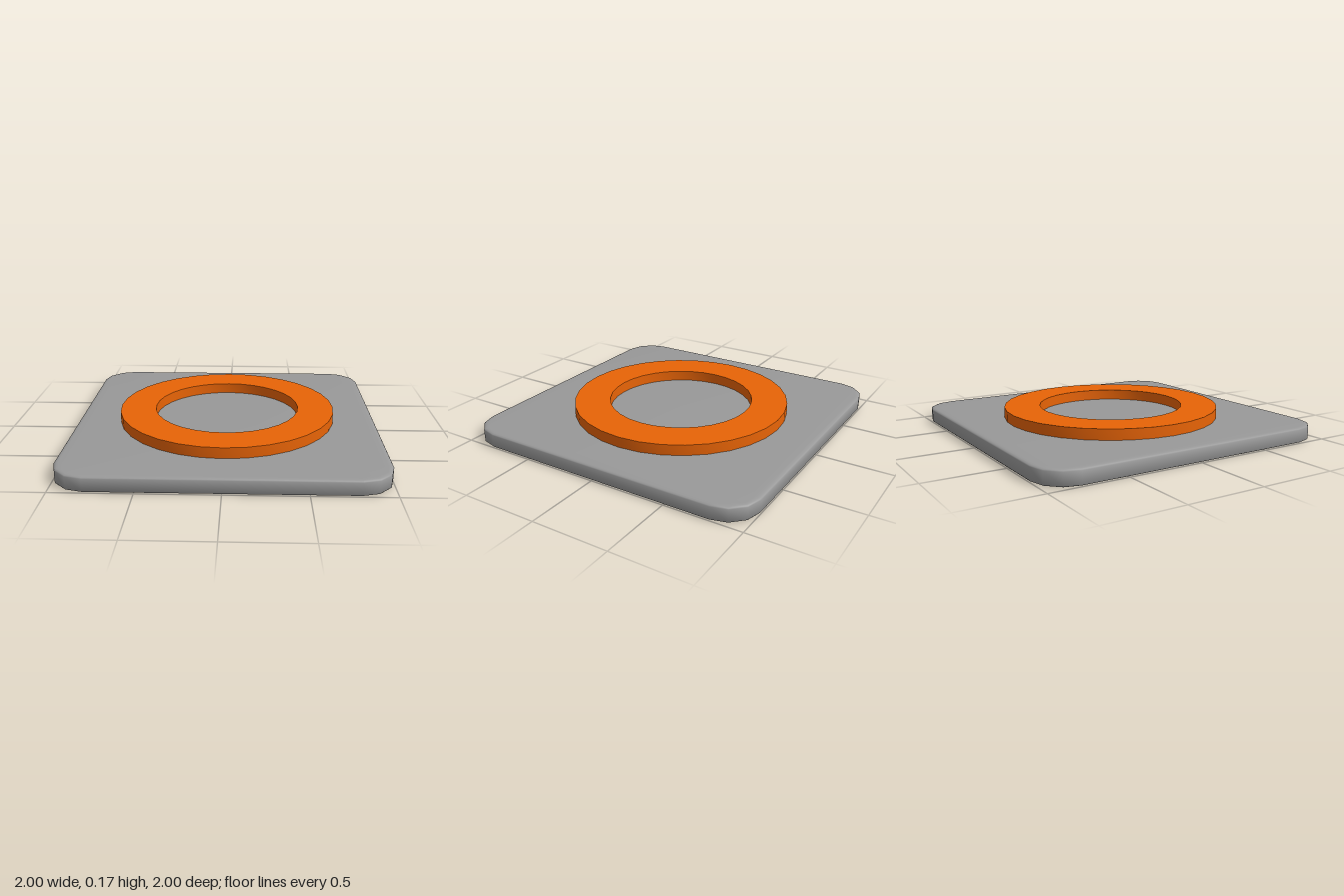
import * as THREE from 'three';
import { toCreasedNormals } from 'three/addons/utils/BufferGeometryUtils.js';

const PLATE_HEIGHT = 0.1;
const RING_TOP = 0.17;

// Square outline with corners rounded in a few facets
function roundedSquare(half, radius, segments) {
  const points = [];
  for (let corner = 0; corner < 4; corner++) {
    const start = corner * Math.PI / 2;
    const diagonal = start + Math.PI / 4;
    const cx = Math.sign(Math.cos(diagonal)) * (half - radius);
    const cy = Math.sign(Math.sin(diagonal)) * (half - radius);
    for (let i = 0; i <= segments; i++) {
      const a = start + (i / segments) * Math.PI / 2;
      points.push(new THREE.Vector2(cx + radius * Math.cos(a), cy + radius * Math.sin(a)));
    }
  }
  return new THREE.Shape(points);
}

// Flat plate with softened top and bottom edges
function createPlate() {
  const inset = 0.03, rise = 0.012;
  const geometry = new THREE.ExtrudeGeometry(roundedSquare(1 - inset, 0.21 - inset, 3), {
    depth: PLATE_HEIGHT - 2 * rise,
    bevelSize: inset,
    bevelThickness: rise,
    bevelSegments: 3,
  });
  geometry.rotateX(-Math.PI / 2).translate(0, rise, 0);
  const plate = new THREE.Mesh(
    toCreasedNormals(geometry, Math.PI / 3.5),
    new THREE.MeshStandardMaterial({ color: 0x999999 })
  );
  plate.name = 'basePlate';
  return plate;
}

// Raised ring with a rectangular section
function createRing() {
  const inner = 0.485, outer = 0.725;
  const profile = [
    [outer, PLATE_HEIGHT], [outer, RING_TOP], [inner, RING_TOP], [inner, PLATE_HEIGHT], [outer, PLATE_HEIGHT],
  ].map(([r, y]) => new THREE.Vector2(r, y));
  const ring = new THREE.Mesh(
    toCreasedNormals(new THREE.LatheGeometry(profile, 32), Math.PI / 4),
    new THREE.MeshStandardMaterial({ color: 0xe86406 })
  );
  ring.name = 'raisedRing';
  return ring;
}

export function createModel() {
  const model = new THREE.Group();
  model.name = 'ringPlate';
  model.add(createPlate(), createRing());
  return model;
}
